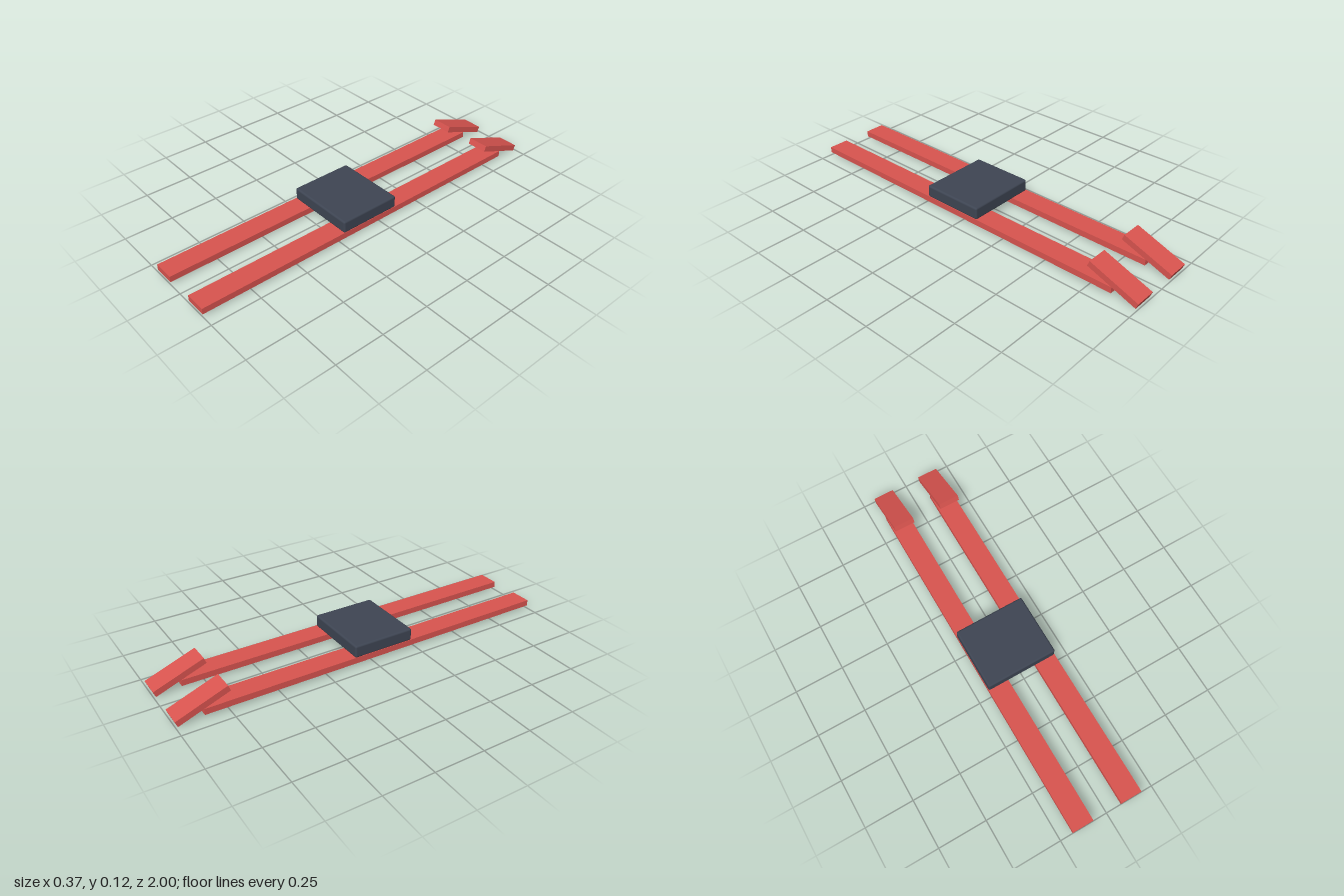
import * as THREE from 'three';
import { RoundedBoxGeometry } from 'three/addons/geometries/RoundedBoxGeometry.js';

export function createModel() {
  const model = new THREE.Group();
  model.name = 'skis';

  const red = new THREE.MeshStandardMaterial({ color: 0xd9544f });
  red.name = 'ski red';
  const slate = new THREE.MeshStandardMaterial({ color: 0x3e4553 });
  slate.name = 'binding slate';

  const add = (name, geometry, material, x, y, z) => {
    const mesh = new THREE.Mesh(geometry, material);
    mesh.name = name;
    mesh.position.set(x, y, z);
    model.add(mesh);
    return mesh;
  };

  const width = 0.109, thickness = 0.031;
  const plank = new THREE.BoxGeometry(width, thickness, 1.865);
  const tip = new THREE.BoxGeometry(width, thickness, 0.2704);

  // Mirrored pair of flat planks, each with a tilted end piece
  for (const [side, sign] of [['left', 1], ['right', -1]]) {
    const x = sign * 0.1315;
    add(side + 'Ski', plank, red, x, 0.0305, 0.0675);
    add(side + 'SkiTip', tip, red, x, 0.0622, -0.868).rotation.x = -0.36;
  }

  // Platform joining both skis
  add('platform', new RoundedBoxGeometry(0.371, 0.065, 0.325, 2, 0.01), slate, 0, 0.0745, 0.066);

  return model;
}
